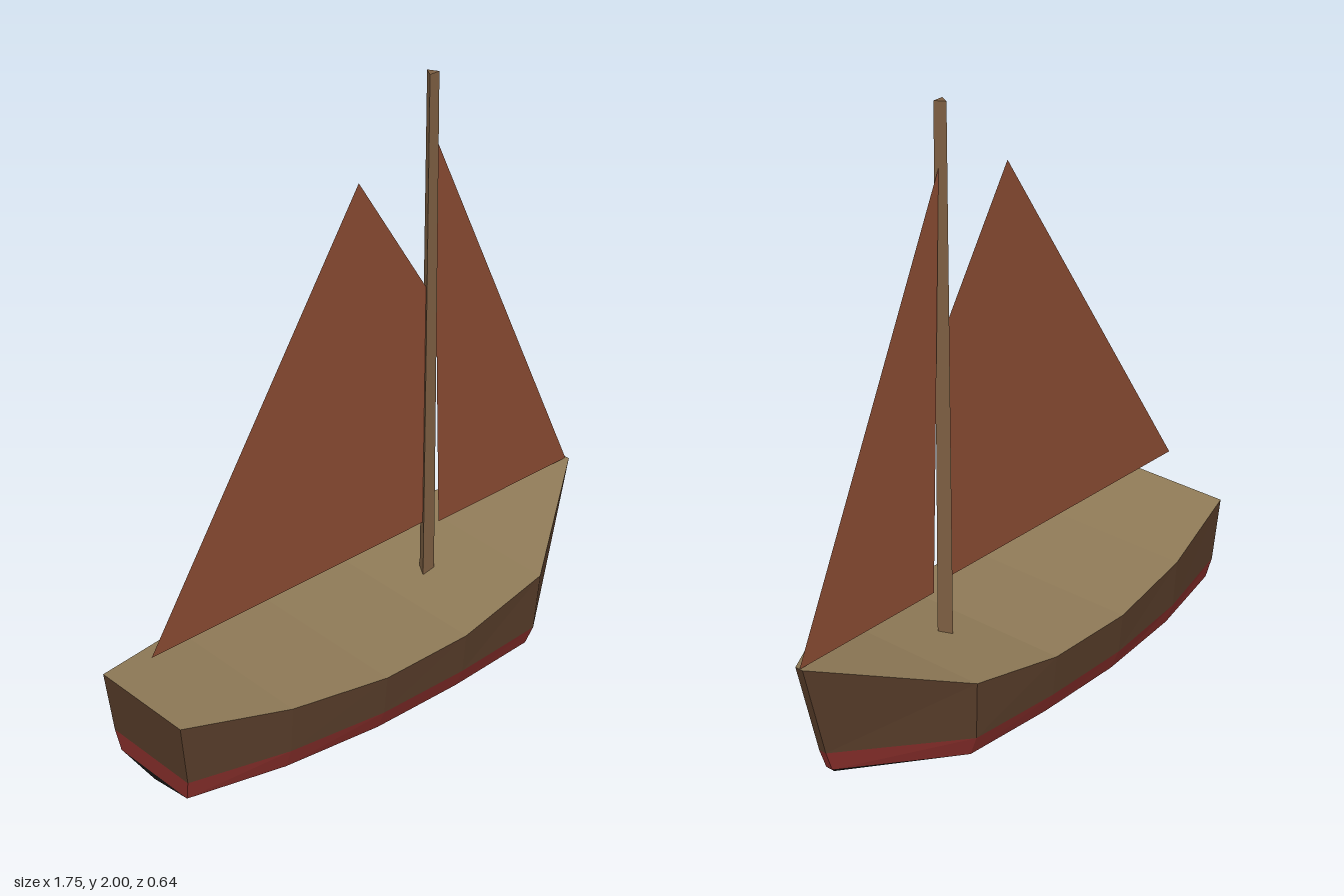
import * as THREE from 'three';

const material = (color) => new THREE.MeshStandardMaterial({ color, flatShading: true, side: THREE.DoubleSide });

// Stations run from stern to bow; each level gives x, y and half width there.
const halfWidths = [0.18, 0.27, 0.317, 0.322, 0.303, 0.014];
const level = (xs, ys, scale) => xs.map((x, i) => [x, ys[i], halfWidths[i] * scale]);
const flat = (y) => halfWidths.map(() => y);
const keel = level([-0.84, -0.53, -0.2, 0.12, 0.44, 0.745], [0.06, 0.017, 0.003, 0, 0.017, 0.06], 0);
const chine = level([-0.842, -0.53, -0.2, 0.12, 0.44, 0.765], flat(0.08), 0.865);
const waterline = level([-0.85, -0.53, -0.2, 0.12, 0.445, 0.79], flat(0.15), 0.957);
const sheer = level([-0.875, -0.53, -0.2, 0.12, 0.455, 0.872], [0.36, 0.31, 0.285, 0.289, 0.347, 0.47], 1);

// Closed outline of a level: along the +z side to the bow and back along the -z side.
const outline = (lvl) => [...lvl, ...lvl.map(([x, y, z]) => [x, y, -z]).reverse()];

function quadMesh(name, quads, color) {
  const positions = [];
  for (const [a, b, c, d] of quads) positions.push(...a, ...b, ...c, ...a, ...c, ...d);
  const geometry = new THREE.BufferGeometry();
  geometry.setAttribute('position', new THREE.Float32BufferAttribute(positions, 3));
  geometry.computeVertexNormals();
  const mesh = new THREE.Mesh(geometry, material(color));
  mesh.name = name;
  return mesh;
}

// Wall all round the hull between two levels, with transom and stem.
function hullBand(name, lower, upper, color) {
  const lo = outline(lower), hi = outline(upper);
  const quads = lo.map((p, i) => {
    const j = (i + 1) % lo.length;
    return [p, lo[j], hi[j], hi[i]];
  });
  return quadMesh(name, quads, color);
}

function sail(name, corners) {
  const shape = new THREE.Shape(corners.map(([x, y]) => new THREE.Vector2(x, y)));
  const mesh = new THREE.Mesh(new THREE.ShapeGeometry(shape), material(0x8a4b32));
  mesh.name = name;
  return mesh;
}

export function createModel() {
  const boat = new THREE.Group();
  boat.name = 'sailingBoat';

  // Hull: dark bottom, red stripe and brown topsides
  const hull = new THREE.Group();
  hull.name = 'hull';
  hull.add(
    hullBand('hullBottom', keel, chine, 0x161412),
    hullBand('waterlineStripe', chine, waterline, 0x8c302c),
    hullBand('topsides', waterline, sheer, 0x583d2a),
  );

  // Deck: one plank strip between each pair of stations
  const mirror = ([x, y, z]) => [x, y, -z];
  const strips = sheer.slice(1).map((b, i) => [sheer[i], b, mirror(b), mirror(sheer[i])]);
  hull.add(quadMesh('deck', strips, 0x8f7a57));
  boat.add(hull);

  // Mast: tapered three-sided pole
  const mast = new THREE.Mesh(
    new THREE.CylinderGeometry(0.021, 0.027, 1.7, 3, 1, false, Math.PI),
    material(0x7d5f42),
  );
  mast.name = 'mast';
  mast.position.set(0.252, 1.15, 0);
  boat.add(mast);

  // Sails
  boat.add(
    sail('mainSail', [[-0.83, 0.493], [0.25, 0.493], [0.25, 1.3], [-0.027, 1.742]]),
    sail('jib', [[0.305, 0.467], [0.87, 0.467], [0.264, 1.805]]),
  );
  return boat;
}
